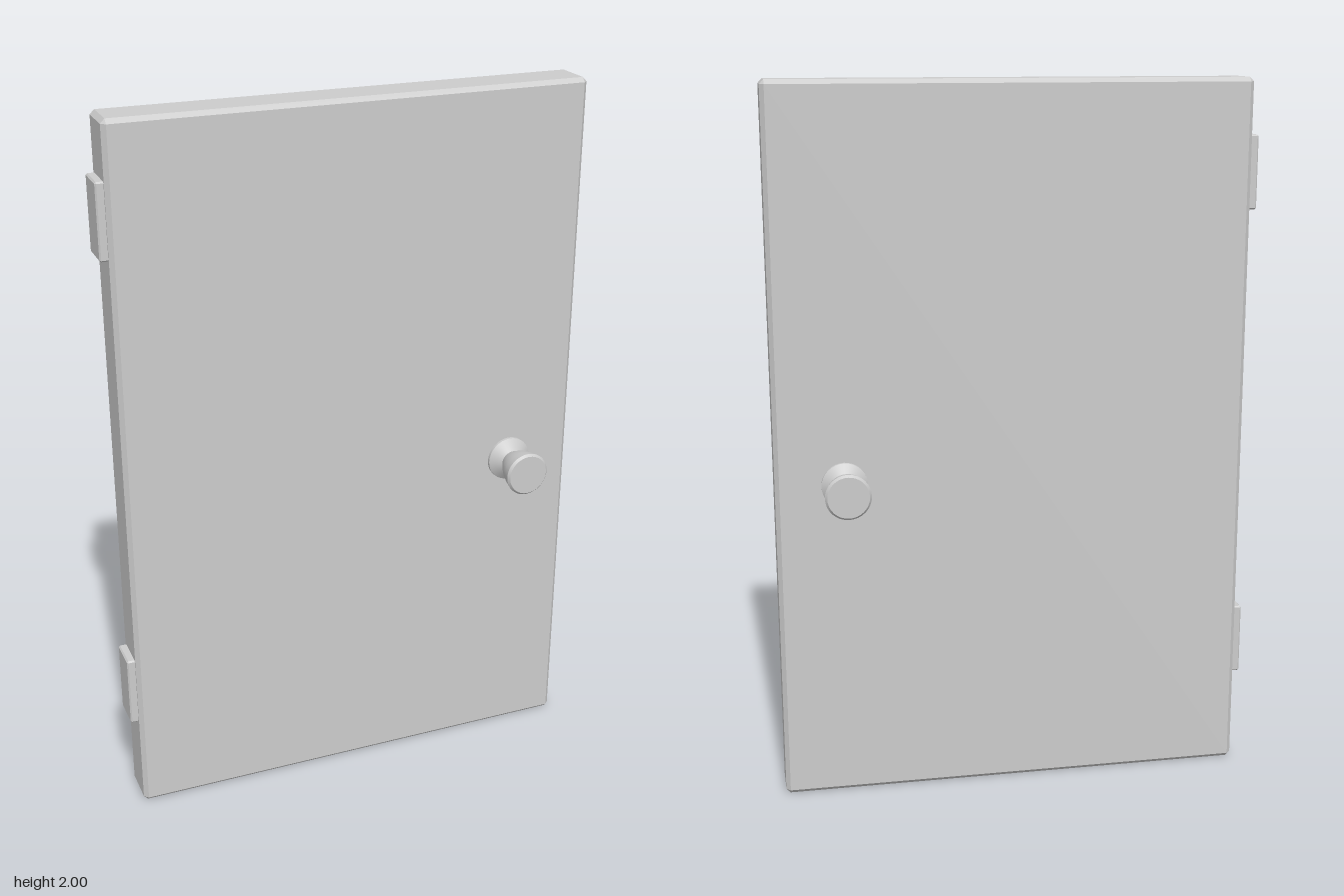
import * as THREE from 'three';
import { ConvexGeometry } from 'three/addons/geometries/ConvexGeometry.js';

const material = new THREE.MeshStandardMaterial({ color: 0xcccccc });

// Box with one flat chamfer along every edge
function chamferedBox(w, h, d, c) {
  const points = [];
  for (const x of [-1, 1]) for (const y of [-1, 1]) for (const z of [-1, 1]) {
    for (let axis = 0; axis < 3; axis++) {
      const inset = [c, c, c];
      inset[axis] = 0;
      points.push(new THREE.Vector3(
        x * (w / 2 - inset[0]), y * (h / 2 - inset[1]), z * (d / 2 - inset[2])));
    }
  }
  return new ConvexGeometry(points);
}

function addPart(parent, name, geometry, x, y, z) {
  const mesh = new THREE.Mesh(geometry, material);
  mesh.name = name;
  mesh.position.set(x, y, z);
  parent.add(mesh);
  return mesh;
}

// Turned piece, points are [radius, distance from the door's middle]
function turned(points) {
  return new THREE.LatheGeometry(points.map(([r, z]) => new THREE.Vector2(r, z)), 32)
    .rotateX(Math.PI / 2);
}

export function createModel() {
  const door = new THREE.Group();
  door.name = 'door';

  // Slab
  addPart(door, 'doorPanel', chamferedBox(1.328, 2, 0.13, 0.012), 0.011, 1, 0);

  // Hinge plates on the door's right edge
  const hingeGeometry = chamferedBox(0.04, 0.204, 0.098, 0.004);
  addPart(door, 'upperHinge', hingeGeometry, -0.655, 1.743, 0);
  addPart(door, 'lowerHinge', hingeGeometry, -0.655, 0.372, 0);

  // Matching knobs on both faces: separate runs keep the rims sharp
  const runs = {
    rosetteRim: [[0.064, 0.06], [0.064, 0.073]],
    rosette: [[0.064, 0.073], [0.05, 0.083], [0.033, 0.096]],
    knobBody: [[0.033, 0.096], [0.041, 0.112], [0.051, 0.135], [0.058, 0.16], [0.063, 0.186]],
    knobRim: [[0.063, 0.186], [0.057, 0.193]],
    knobFace: [[0.057, 0.193], [0, 0.193]],
  };
  for (const side of [1, -1]) {
    const knob = new THREE.Group();
    knob.name = side > 0 ? 'frontKnob' : 'backKnob';
    knob.position.set(0.485, 0.913, 0);
    if (side < 0) knob.rotation.y = Math.PI;
    for (const [name, points] of Object.entries(runs)) addPart(knob, name, turned(points), 0, 0, 0);
    door.add(knob);
  }
  return door;
}
